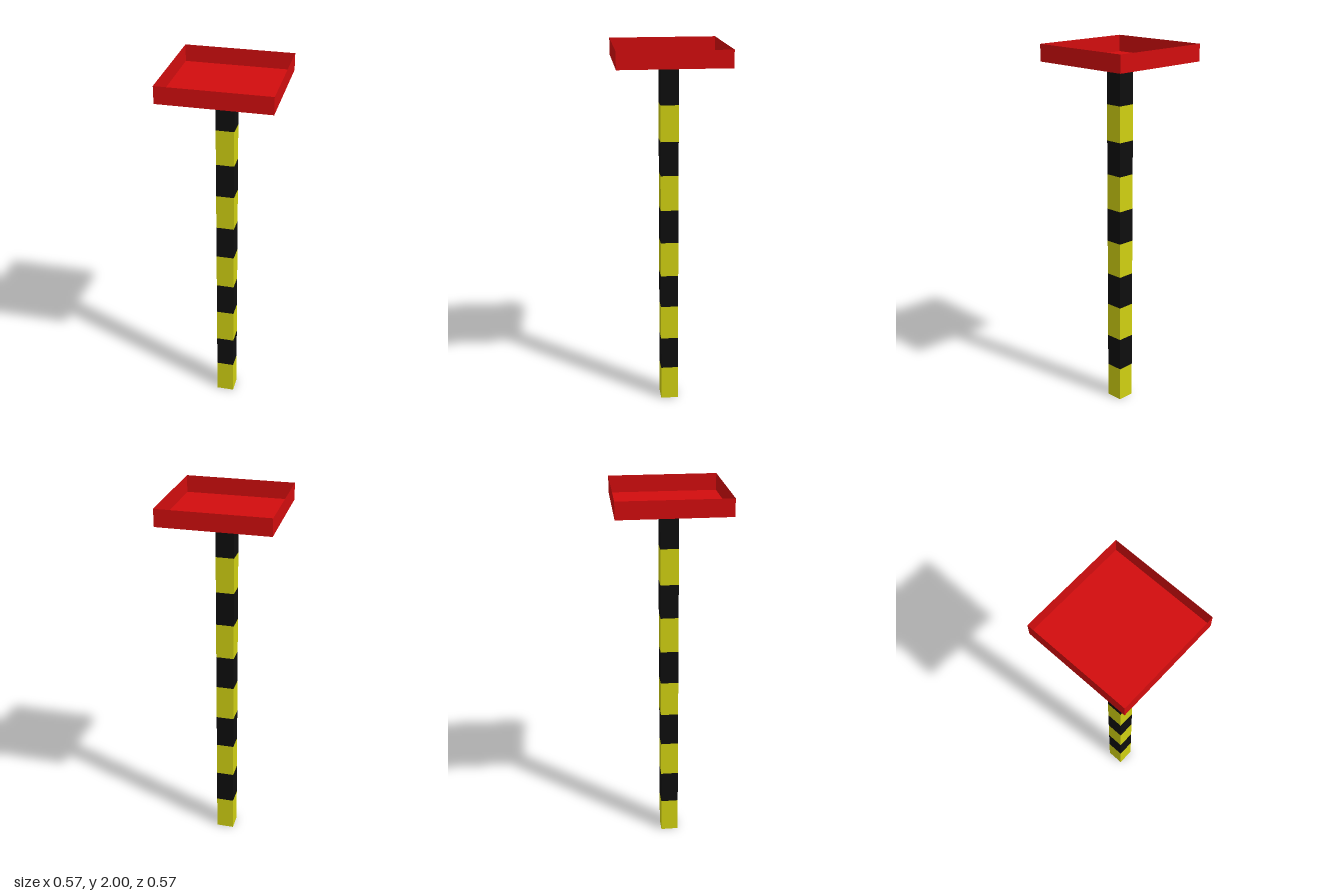
import * as THREE from 'three';

export function createModel() {
  const model = new THREE.Group();
  const red = new THREE.MeshStandardMaterial({ color: 0xd20d0e, side: THREE.DoubleSide });
  red.name = 'red';
  const yellow = new THREE.MeshStandardMaterial({ color: 0xd0d012, flatShading: true });
  yellow.name = 'yellow';
  const black = new THREE.MeshStandardMaterial({ color: 0x0e0e0e, flatShading: true });
  black.name = 'black';

  const POST = 0.095, TRAY = 0.572, FLOOR = 1.911, TOP = 2;

  function add(parent, name, geometry, material) {
    const mesh = new THREE.Mesh(geometry, material);
    mesh.name = name;
    parent.add(mesh);
    return mesh;
  }

  // Square post, open-ended sections in alternating colours
  const post = new THREE.Group();
  post.name = 'post';
  model.add(post);
  function section(name, y0, y1, material) {
    const r = POST / Math.SQRT2;
    const geo = new THREE.CylinderGeometry(r, r, y1 - y0, 4, 1, true)
      .rotateY(Math.PI / 4).toNonIndexed();
    geo.computeVertexNormals();
    add(post, name, geo, material).position.y = (y0 + y1) / 2;
  }
  const period = 0.375, yellowHeight = 0.192;
  for (let i = 0; i < 5; i++) {
    const y = i * period;
    section('yellowBand', y, y + yellowHeight, yellow);
    section('blackBand', y + yellowHeight, y + period, black);
  }
  section('neck', 5 * period, FLOOR, red);
  add(post, 'postBase', new THREE.PlaneGeometry(POST, POST).rotateX(Math.PI / 2), red);

  // Open tray of thin sheets: floor and four walls
  const tray = new THREE.Group();
  tray.name = 'tray';
  model.add(tray);
  add(tray, 'trayFloor', new THREE.PlaneGeometry(TRAY, TRAY).rotateX(-Math.PI / 2), red).position.y = FLOOR;
  for (let i = 0; i < 4; i++) {
    const wall = new THREE.PlaneGeometry(TRAY, TOP - FLOOR)
      .translate(0, (TOP + FLOOR) / 2, TRAY / 2)
      .rotateY(i * Math.PI / 2);
    add(tray, 'trayWall', wall, red);
  }
  return model;
}
